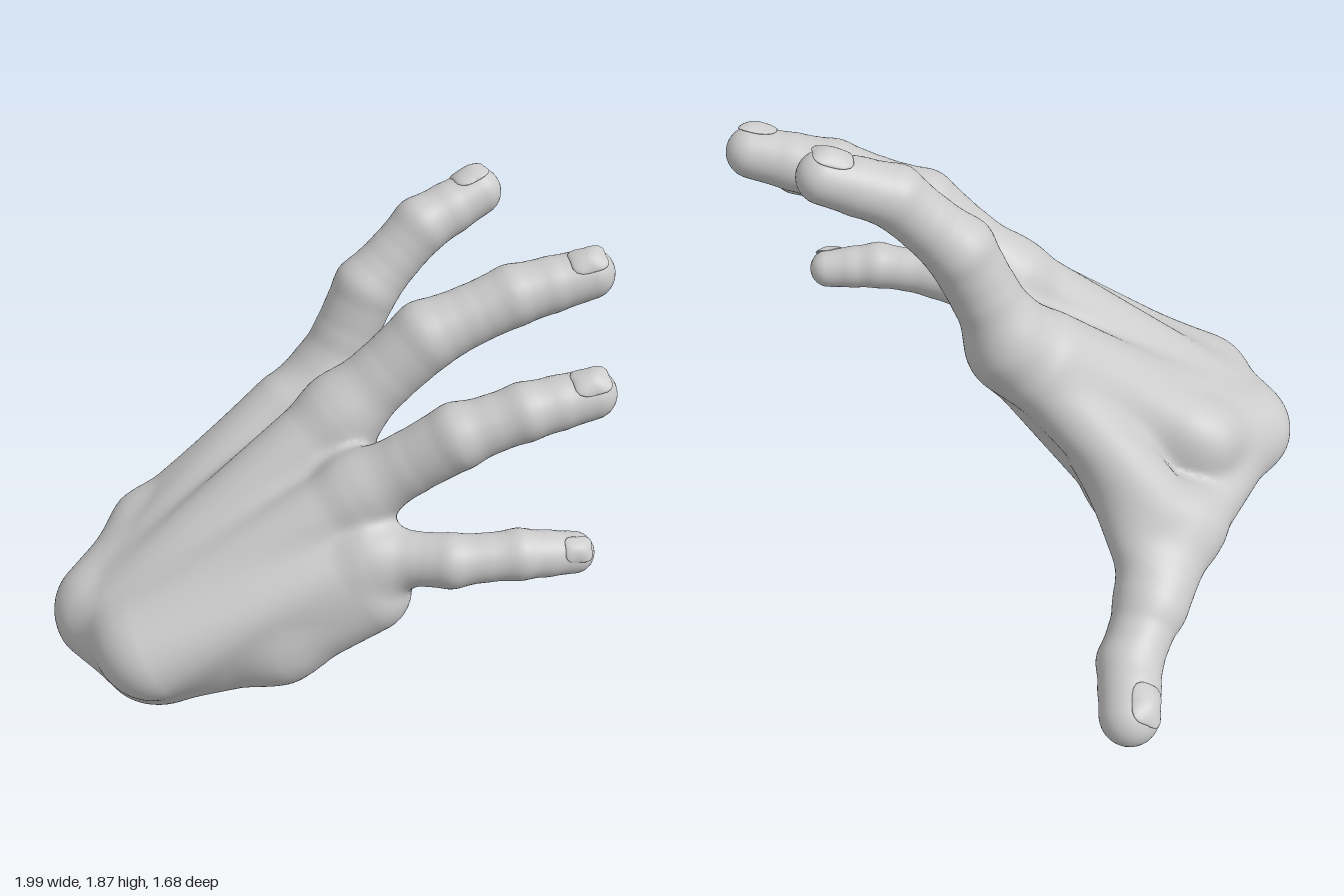
import * as THREE from 'three';

// Finger joints from knuckle to tip: [x, y, z, radius], and the way the nail faces
const FINGERS = {
  indexFinger: {
    joints: [[-0.14, 1.1, -0.28, 0.138], [-0.01, 1.46, -0.375, 0.118], [0.15, 1.675, -0.5, 0.104], [0.31, 1.77, -0.65, 0.087]],
    nail: [-0.25, 0.9, 0.2], size: 1,
  },
  middleFinger: {
    joints: [[0.03, 1.14, -0.01, 0.138], [0.29, 1.425, -0.15, 0.125], [0.55, 1.555, -0.3, 0.108], [0.785, 1.62, -0.43, 0.089]],
    nail: [-0.1, 0.85, 0.5], size: 1,
  },
  ringFinger: {
    joints: [[0.18, 0.98, 0.21, 0.128], [0.5, 1.22, 0.13, 0.115], [0.7, 1.305, 0.04, 0.1], [0.895, 1.35, -0.08, 0.087]],
    nail: [-0.1, 0.8, 0.5], size: 1,
  },
  littleFinger: {
    joints: [[0.26, 0.79, 0.31, 0.112], [0.54, 0.82, 0.28, 0.094], [0.75, 0.84, 0.19, 0.088], [0.915, 0.825, 0.09, 0.073]],
    nail: [0.2, 0.65, 0.7], size: 0.78,
  },
  thumb: {
    joints: [[-0.74, 0.4, -0.1, 0.15], [-0.77, 0.26, -0.38, 0.13], [-0.795, 0.155, -0.57, 0.113], [-0.885, 0.105, -0.735, 0.103]],
    nail: [-0.5, 0.75, 0.3], size: 1.1,
  },
};

// Palm bones and pads: tapered capsules from one point and radius to another
const PALM = [
  [[-0.72, 0.44, 0.47, 0.14], [-0.14, 1.1, -0.28, 0.135]],   // index metacarpal
  [[-0.62, 0.46, 0.54, 0.15], [0.03, 1.14, -0.01, 0.135]],   // middle metacarpal
  [[-0.5, 0.47, 0.62, 0.16], [0.18, 0.98, 0.21, 0.125]],     // ring metacarpal
  [[-0.42, 0.45, 0.67, 0.17], [0.26, 0.79, 0.31, 0.112]],    // little metacarpal
  [[-0.72, 0.42, 0.46, 0.14], [-0.74, 0.38, -0.1, 0.14]],    // thumb metacarpal
  [[-0.7, 0.42, 0.54, 0.13], [-0.5, 0.32, 0.56, 0.15]],      // wrist end
  [[-0.55, 0.31, 0.42, 0.18], [-0.51, 0.37, 0.08, 0.22]],    // thumb pad
  [[-0.42, 0.36, 0.52, 0.19], [-0.05, 0.46, 0.42, 0.17]],    // heel pad, wrist half
  [[-0.05, 0.46, 0.42, 0.17], [0.25, 0.65, 0.31, 0.155]],    // heel pad, finger half
  [[-0.4, 0.42, 0.28, 0.2], [0.03, 0.9, 0.04, 0.175]],       // middle of the palm
  [[-0.22, 0.5, 0.3, 0.19], [0.1, 0.72, 0.2, 0.17]],         // palm beside the heel
  [[-0.45, 0.5, 0.02, 0.19], [-0.1, 0.98, -0.18, 0.15]],     // thumb side of the palm
  [[-0.13, 1.02, -0.26, 0.125], [0.24, 0.75, 0.26, 0.12]],   // pad below the fingers
  [[-0.26, 0.96, -0.25, 0.12], [-0.68, 0.5, -0.16, 0.12]],   // web of the thumb
  [[-0.75, 0.3, -0.31, 0.11], [-0.48, 0.64, -0.17, 0.11]],   // flare of the web
  [[-0.25, 1.01, -0.18, 0.12], [-0.68, 0.6, 0.15, 0.12]],    // muscle behind the index
  [[-0.68, 0.6, 0.15, 0.12], [-0.73, 0.45, 0.45, 0.13]],     // side of the wrist
];

const smoothMin = (a, b, k) => {
  const h = Math.max(k - Math.abs(a - b), 0) / k;
  return Math.min(a, b) - h * h * k / 4;
};

// Signed distance to a tapered capsule
function capsule([a, b]) {
  const dx = b[0] - a[0], dy = b[1] - a[1], dz = b[2] - a[2];
  const len2 = dx * dx + dy * dy + dz * dz;
  return (x, y, z) => {
    const px = x - a[0], py = y - a[1], pz = z - a[2];
    const t = Math.min(1, Math.max(0, (px * dx + py * dy + pz * dz) / len2));
    return Math.sqrt((px - t * dx) ** 2 + (py - t * dy) ** 2 + (pz - t * dz) ** 2) - a[3] - t * (b[3] - a[3]);
  };
}

// Blend several capsules into one distance field
function blend(segments, k) {
  const parts = segments.map(capsule);
  return (x, y, z) => {
    let d = parts[0](x, y, z);
    for (let i = 1; i < parts.length; i++) d = smoothMin(d, parts[i](x, y, z), k);
    return d;
  };
}

// Each finger bone but the last narrows at its middle so the joints swell
function fingerField(joints) {
  const segments = [];
  for (let i = 0; i < joints.length - 1; i++) {
    const a = joints[i], b = joints[i + 1], waist = i < 2 ? 0.9 : 0.98;
    const mid = a.map((v, n) => (v + b[n]) / 2 * (n === 3 ? waist : 1));
    segments.push([a, mid], [mid, b]);
  }
  return blend(segments, 0.012);
}

// Wrap a grid of quads around the zero surface, sorting the faces by part
function skinSurface(field, partOf) {
  const step = 0.0165, min = [-1.05, -0.05, -0.9], n = [126, 121, 110];
  const stride = [1, n[0], n[0] * n[1]];
  const values = new Float32Array(n[0] * n[1] * n[2]);
  for (let k = 0, q = 0; k < n[2]; k++)
    for (let j = 0; j < n[1]; j++)
      for (let i = 0; i < n[0]; i++, q++)
        values[q] = field(min[0] + i * step, min[1] + j * step, min[2] + k * step);

  const gradient = (x, y, z, e = 0.012) => new THREE.Vector3(
    field(x + e, y, z) - field(x - e, y, z),
    field(x, y + e, z) - field(x, y - e, z),
    field(x, y, z + e) - field(x, y, z - e)).normalize();

  const positions = [], normals = [], owner = [], vertexOf = new Map();
  // One vertex per crossed cell, pulled onto the surface
  function vertex(cell) {
    if (vertexOf.has(cell)) return vertexOf.get(cell);
    const base = [cell % n[0], Math.floor(cell / n[0]) % n[1], Math.floor(cell / stride[2])];
    const sum = [0, 0, 0];
    let count = 0;
    for (let c = 0; c < 8; c++) for (let a = 0; a < 3; a++) {
      if (c >> a & 1) continue;
      const corner = [c & 1, c >> 1 & 1, c >> 2 & 1];
      const q = cell + corner[0] + corner[1] * stride[1] + corner[2] * stride[2];
      const v0 = values[q], v1 = values[q + stride[a]];
      if (v0 < 0 === v1 < 0) continue;
      corner[a] = v0 / (v0 - v1);
      corner.forEach((v, m) => { sum[m] += v; });
      count++;
    }
    const p = new THREE.Vector3(...sum.map((s, m) => min[m] + (base[m] + s / count) * step));
    p.addScaledVector(gradient(p.x, p.y, p.z), -field(p.x, p.y, p.z));
    const id = owner.length;
    positions.push(p.x, p.y, p.z);
    normals.push(...gradient(p.x, p.y, p.z).toArray());
    owner.push(partOf(p.x, p.y, p.z));
    vertexOf.set(cell, id);
    return id;
  }

  const faces = {};
  for (let k = 1; k < n[2] - 1; k++) for (let j = 1; j < n[1] - 1; j++) for (let i = 1; i < n[0] - 1; i++) {
    const q = i + j * stride[1] + k * stride[2];
    for (let a = 0; a < 3; a++) {
      const inside = values[q] < 0;
      if (inside === values[q + stride[a]] < 0) continue;
      const u = stride[(a + 1) % 3], v = stride[(a + 2) % 3];
      const quad = [q - u - v, q - v, q, q - u].map(vertex);
      if (!inside) quad.reverse();
      const [A, B, C, D] = quad;
      (faces[owner[A]] ??= []).push(A, B, C, A, C, D);
    }
  }
  return {
    faces,
    position: new THREE.Float32BufferAttribute(positions, 3),
    normal: new THREE.Float32BufferAttribute(normals, 3),
  };
}

// Squarish nail, bent over the fingertip both ways
function makeNail({ joints, nail, size }, material) {
  const [x, y, z, r] = joints[3];
  const tip = new THREE.Vector3(x, y, z);
  const along = tip.clone().sub(new THREE.Vector3(...joints[2])).normalize();
  const up = new THREE.Vector3(...nail);
  up.addScaledVector(along, -up.dot(along)).normalize();
  const side = new THREE.Vector3().crossVectors(up, along);
  const geometry = new THREE.SphereGeometry(1, 24, 16);
  const p = geometry.attributes.position;
  for (let i = 0; i < p.count; i++) {
    const px = p.getX(i), pz = p.getZ(i);
    const square = 1 + 0.22 * Math.min(1, 4 * px * px * pz * pz);
    const bend = px * px * 0.021 + Math.max(pz, 0) ** 2 * 0.02;
    p.setXYZ(i, px * square * 0.056 * size, (p.getY(i) * 0.014 - bend) * size, pz * square * 0.063 * size);
  }
  geometry.computeVertexNormals();
  const mesh = new THREE.Mesh(geometry, material);
  mesh.quaternion.setFromRotationMatrix(new THREE.Matrix4().makeBasis(side, up, along));
  mesh.position.copy(tip).addScaledVector(up, r + 0.004).addScaledVector(along, -0.002);
  return mesh;
}

export function createModel() {
  const group = new THREE.Group();
  group.name = 'hand';
  const material = new THREE.MeshStandardMaterial({ color: 0xcccccc });

  const palm = blend(PALM, 0.08);
  const names = Object.keys(FINGERS);
  const fingers = names.map((name) => fingerField(FINGERS[name].joints));
  const field = (x, y, z) => fingers.reduce((d, f) => smoothMin(d, f(x, y, z), 0.06), palm(x, y, z));
  const partOf = (x, y, z) => {
    const i = fingers.findIndex((f) => f(x, y, z) < palm(x, y, z) - 0.02 && f(x, y, z) < 0.03);
    return i < 0 ? 'palm' : names[i];
  };

  // Palm and fingers share one seamless skin
  const { faces, position, normal } = skinSurface(field, partOf);
  for (const [name, index] of Object.entries(faces)) {
    const geometry = new THREE.BufferGeometry();
    geometry.setAttribute('position', position);
    geometry.setAttribute('normal', normal);
    geometry.setIndex(index);
    const mesh = new THREE.Mesh(geometry, material);
    mesh.name = name;
    group.add(mesh);
  }
  for (const name of names) {
    const nail = makeNail(FINGERS[name], material);
    nail.name = name + 'Nail';
    group.add(nail);
  }
  return group;
}
